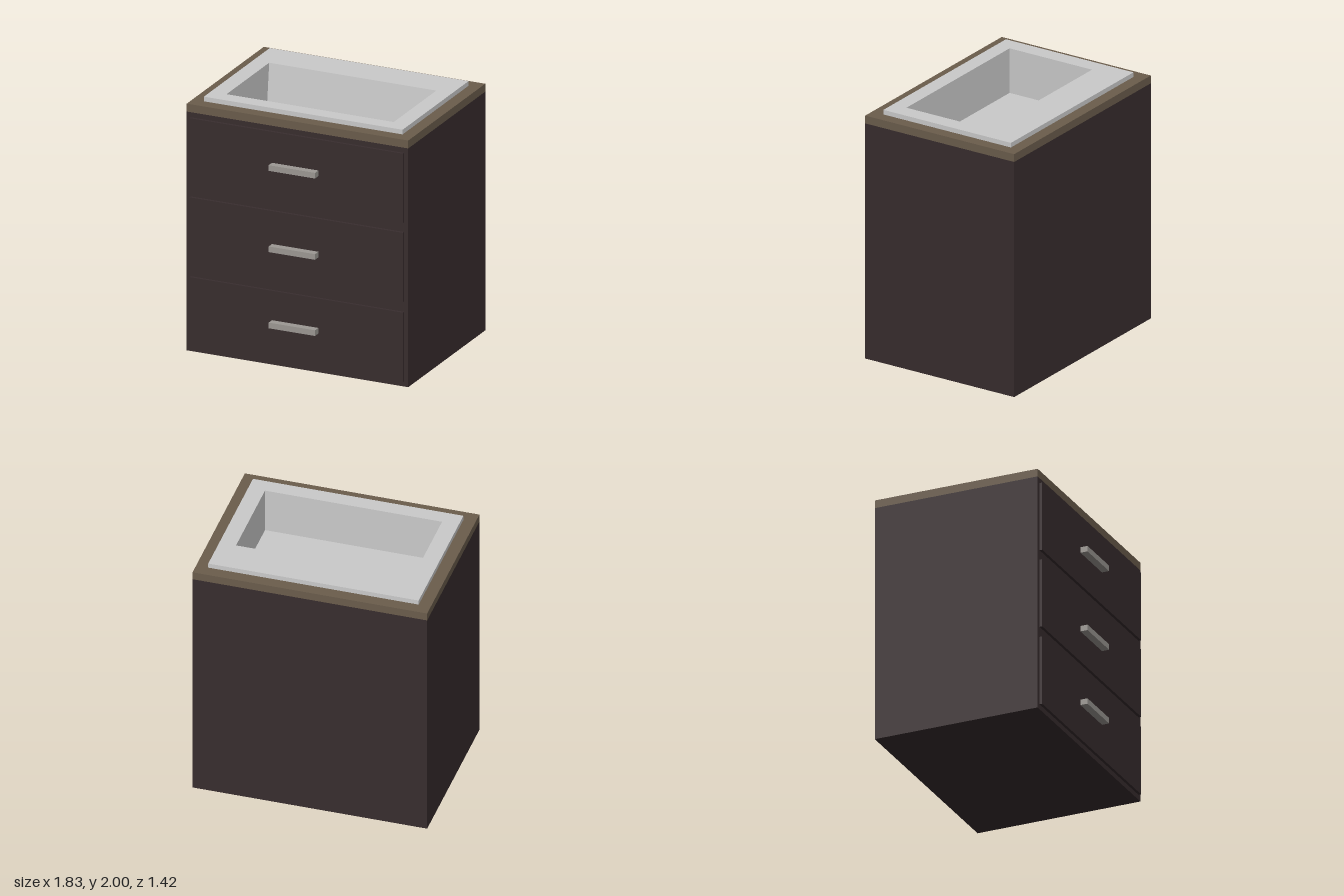
import * as THREE from 'three';

const mat = (name, color) => {
  const m = new THREE.MeshStandardMaterial({ color });
  m.name = name;
  return m;
};

// Box given by its min and max corners
function box(name, material, [x0, y0, z0], [x1, y1, z1]) {
  const mesh = new THREE.Mesh(new THREE.BoxGeometry(x1 - x0, y1 - y0, z1 - z0), material);
  mesh.name = name;
  mesh.position.set((x0 + x1) / 2, (y0 + y1) / 2, (z0 + z1) / 2);
  return mesh;
}

// Corners of a horizontal rectangle, counterclockwise from above
const ring = (x, z0, z1, y) => [[-x, y, z1], [x, y, z1], [x, y, z0], [-x, y, z0]];

// Flat-faced surface joining rectangular rings, closed by the last one
function joinRings(rings) {
  const pos = [];
  const quad = (a, b, c, d) => [a, b, c, a, c, d].forEach(p => pos.push(...p));
  for (let r = 0; r < rings.length - 1; r++) {
    for (let i = 0; i < 4; i++) {
      const j = (i + 1) % 4;
      quad(rings[r][i], rings[r][j], rings[r + 1][j], rings[r + 1][i]);
    }
  }
  quad(...rings[rings.length - 1]);
  const g = new THREE.BufferGeometry();
  g.setAttribute('position', new THREE.Float32BufferAttribute(pos, 3));
  g.computeVertexNormals();
  return g;
}

// Upright rectangular frame: outer rectangle with a rectangular hole
function frame(name, material, outer, hole, y0, y1) {
  const points = ([x, z0, z1]) => [[-x, -z1], [x, -z1], [x, -z0], [-x, -z0]].map(p => new THREE.Vector2(...p));
  const shape = new THREE.Shape(points(outer));
  shape.holes.push(new THREE.Path(points(hole)));
  const g = new THREE.ExtrudeGeometry(shape, { depth: y1 - y0, bevelEnabled: false });
  g.rotateX(-Math.PI / 2);
  const mesh = new THREE.Mesh(g, material);
  mesh.name = name;
  mesh.position.y = y0;
  return mesh;
}

export function createModel() {
  const group = new THREE.Group();
  group.name = 'washstand';
  const darkWood = mat('darkWood', 0x382d2e);
  const counterWood = mat('counterWood', 0x6b5d4c);
  const ceramic = mat('ceramic', 0xcbcbcb);
  const metal = mat('metal', 0x9d9994);

  // Cabinet: hollow body and bottom panel
  group.add(frame('cabinetBody', darkWood, [0.914, -0.707, 0.63], [0.88, -0.67, 0.6], 0, 1.9));
  group.add(box('cabinetBottom', darkWood, [-0.88, 0, -0.67], [0.88, 0.03, 0.6]));

  // Countertop with the basin cut-out
  group.add(frame('countertop', counterWood, [0.914, -0.707, 0.63], [0.75, -0.5, 0.47], 1.9, 1.963));

  // Drawer fronts with bar handles
  [[0.04, 0.595, 0.317], [0.677, 1.23, 0.923], [1.307, 1.86, 1.57]].forEach(([y0, y1, h]) => {
    group.add(box('drawerFront', darkWood, [-0.88, y0, 0.63], [0.88, y1, 0.652]));
    group.add(box('drawerHandle', metal, [-0.2, h, 0.652], [0.183, h + 0.045, 0.71]));
  });

  // Basin: raised rim and bowl with a sloping back wall
  const basin = new THREE.Mesh(joinRings([
    ring(0.82, -0.615, 0.53, 1.963),
    ring(0.82, -0.615, 0.53, 2),
    ring(0.69, -0.33, 0.41, 2),
    ring(0.69, -0.288, 0.41, 1.64),
  ]), ceramic);
  basin.name = 'basin';
  group.add(basin);

  // Drain
  const drain = new THREE.Mesh(new THREE.CylinderGeometry(0.09, 0.09, 0.006, 8), darkWood);
  drain.name = 'drain';
  drain.position.set(-0.04, 1.643, 0.035);
  group.add(drain);

  return group;
}
